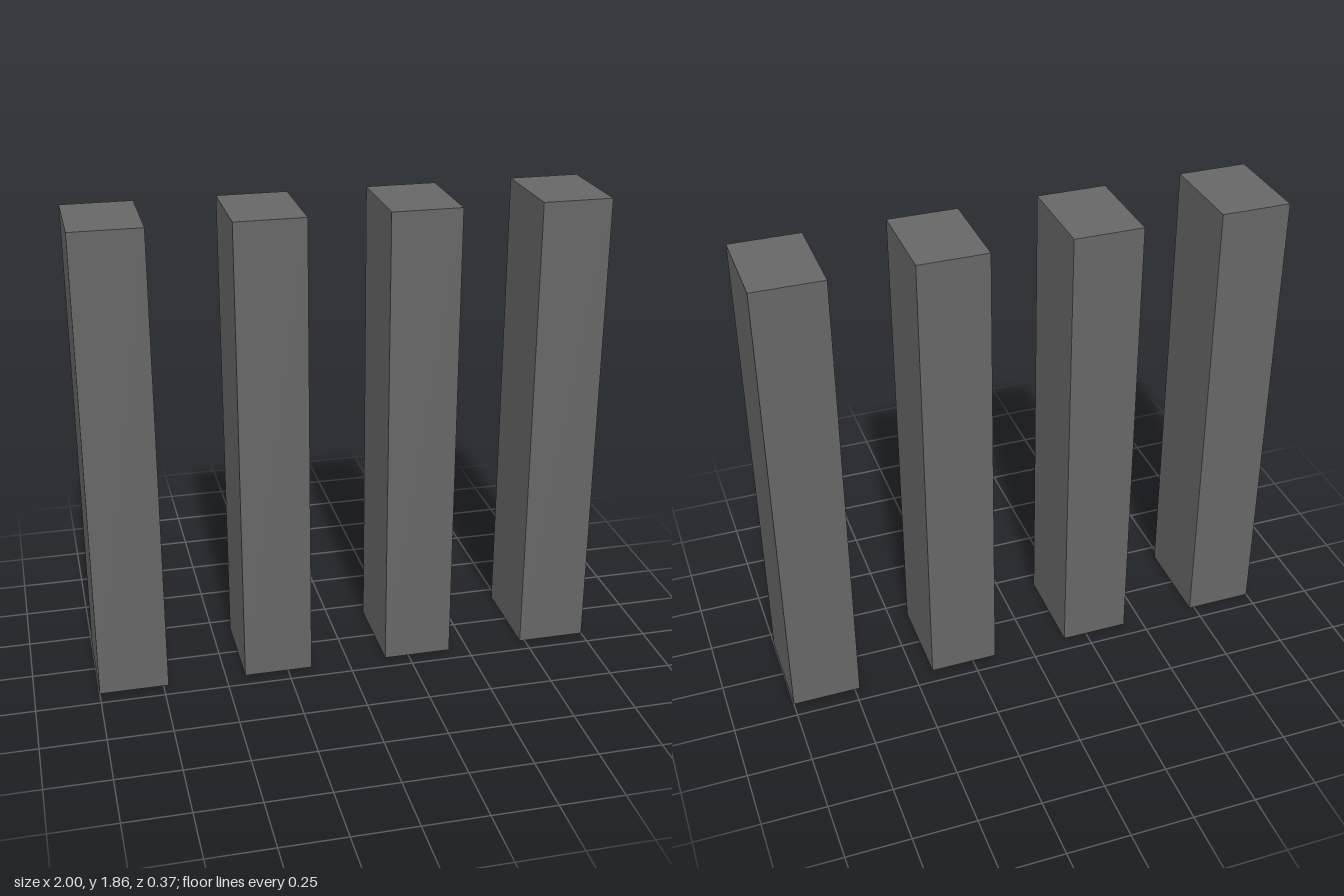
import * as THREE from 'three';

export function createModel() {
  const model = new THREE.Group();
  model.name = 'pillarRow';

  const width = 0.27, height = 1.86, depth = 0.372;
  const count = 4;
  const spacing = (2 - width) / (count - 1);
  const geometry = new THREE.BoxGeometry(width, height, depth);
  const material = new THREE.MeshStandardMaterial({ color: 0x666666 });

  // Evenly spaced square-edged pillars, standing on the ground
  for (let i = 0; i < count; i++) {
    const pillar = new THREE.Mesh(geometry, material);
    pillar.name = `pillar${i + 1}`;
    pillar.position.set((i - (count - 1) / 2) * spacing, height / 2, 0);
    model.add(pillar);
  }
  return model;
}
